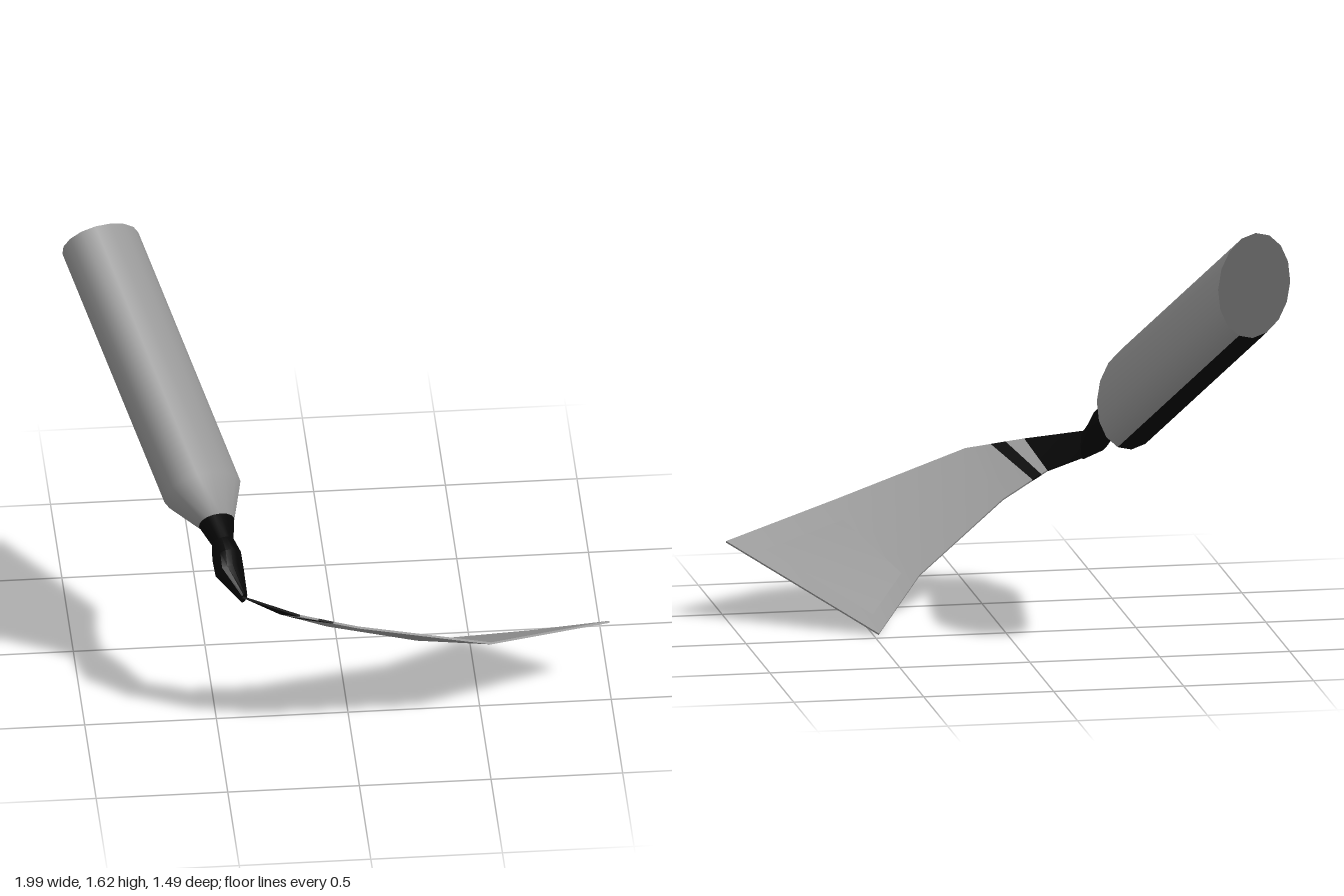
import * as THREE from 'three';
import { toCreasedNormals } from 'three/addons/utils/BufferGeometryUtils.js';

const V = (x, y, z) => new THREE.Vector3(x, y, z);
const SIDES = 16;

// Elliptical ring around an axis: p is one half-width vector, b the other half-width.
function ring(c, axis, p, b) {
  const q = axis.clone().cross(p).normalize().multiplyScalar(b);
  return Array.from({ length: SIDES }, (_, i) => {
    const a = (i / SIDES) * Math.PI * 2;
    return c.clone().addScaledVector(p, Math.cos(a)).addScaledVector(q, Math.sin(a));
  });
}

// Skin over rings of points, beginning at side `from`, with optional end caps.
function skin(rings, { from = 0, start = false, end = false, crease = 0.6 } = {}) {
  const pts = [];
  const n = rings[0].length;
  for (let k = 0; k < rings.length - 1; k++) {
    for (let s = from; s < from + n; s++) {
      const i = s % n, j = (s + 1) % n;
      const a = rings[k][i], b = rings[k][j], d = rings[k + 1][i], e = rings[k + 1][j];
      pts.push(a, b, d, b, e, d);
    }
  }
  const first = rings[0], last = rings[rings.length - 1];
  for (let i = 1; i < n - 1; i++) {
    if (start) pts.push(first[0], first[i + 1], first[i]);
    if (end) pts.push(last[0], last[i], last[i + 1]);
  }
  return toCreasedNormals(new THREE.BufferGeometry().setFromPoints(pts), crease);
}

export function createModel() {
  const group = new THREE.Group();
  const grey = new THREE.MeshStandardMaterial({ color: 0x999999, side: THREE.DoubleSide });
  grey.name = 'grey';
  const black = new THREE.MeshStandardMaterial({ color: 0x060606, side: THREE.DoubleSide });
  black.name = 'black';
  const add = (name, geometry, material) => {
    const mesh = new THREE.Mesh(geometry, material);
    mesh.name = name;
    group.add(mesh);
  };

  // Handle: oval bar with a tapered front, black along one narrow side and on the butt
  const axis = V(0.3, -0.565, 0.77).normalize();
  const wide = V(-0.37, 0.68, 0.637);
  wide.addScaledVector(axis, -wide.dot(axis)).normalize();
  const oval = (c, a, b) => ring(c, axis, wide.clone().multiplyScalar(a), b);
  const collar = oval(V(-0.483, 0.77, 0.318), 0.115, 0.065);
  const handle = skin([
    oval(V(-0.845, 1.45, -0.6), 0.233, 0.143),
    oval(V(-0.528, 0.845, 0.215), 0.233, 0.143),
    collar,
  ], { from: 4, start: true, crease: 1 });
  const bandSides = 4;
  for (let k = 0; k < 2; k++) {
    const first = k * SIDES * 6;
    handle.addGroup(first, bandSides * 6, 1);
    handle.addGroup(first + bandSides * 6, (SIDES - bandSides) * 6, 0);
  }
  handle.addGroup(2 * SIDES * 6, (SIDES - 2) * 3, 1);
  add('handle', handle, [grey, black]);

  // Neck: pinched, then swelling and flattening into the blade
  add('neck', skin([
    collar,
    oval(V(-0.465, 0.718, 0.373), 0.06, 0.042),
    oval(V(-0.455, 0.692, 0.432), 0.078, 0.055),
    oval(V(-0.448, 0.652, 0.483), 0.092, 0.052),
    ring(V(-0.4, 0.585, 0.56), V(0.8, -0.35, 0.4), V(-0.012, 0.042, 0.052), 0.02),
  ], { end: true }), black);

  // Blade: outer and inner edge points, from the neck to the tip
  const outer = [V(-0.41, 0.625, 0.615), V(-0.2, 0.585, 0.7), V(-0.13, 0.573, 0.714), V(-0.075, 0.563, 0.725),
    V(0.02, 0.547, 0.742), V(0.53, 0.39, 0.66), V(1, 0.3, 0.42)];
  const inner = [V(-0.39, 0.55, 0.51), V(-0.26, 0.495, 0.545), V(-0.235, 0.482, 0.539), V(-0.2, 0.464, 0.53),
    V(-0.08, 0.4, 0.5), V(0.28, 0.17, 0.285), V(0.48, 0.003, 0.05)];
  const sections = outer.map((A, i) => {
    const B = inner[i];
    const lo = Math.max(i - 1, 0), hi = Math.min(i + 1, outer.length - 1);
    const along = outer[hi].clone().add(inner[hi]).sub(outer[lo]).sub(inner[lo]);
    const h = A.clone().sub(B).cross(along).normalize().multiplyScalar(0.004);
    return [A.clone().sub(h), B.clone().sub(h), B.clone().add(h), A.clone().add(h)];
  });
  add('bladeRoot', skin(sections.slice(0, 2), { start: true }), black);
  add('bladeGap', skin(sections.slice(1, 3)), grey);
  add('bladeStripe', skin(sections.slice(2, 4)), black);
  add('blade', skin(sections.slice(3), { end: true }), grey);

  return group;
}
